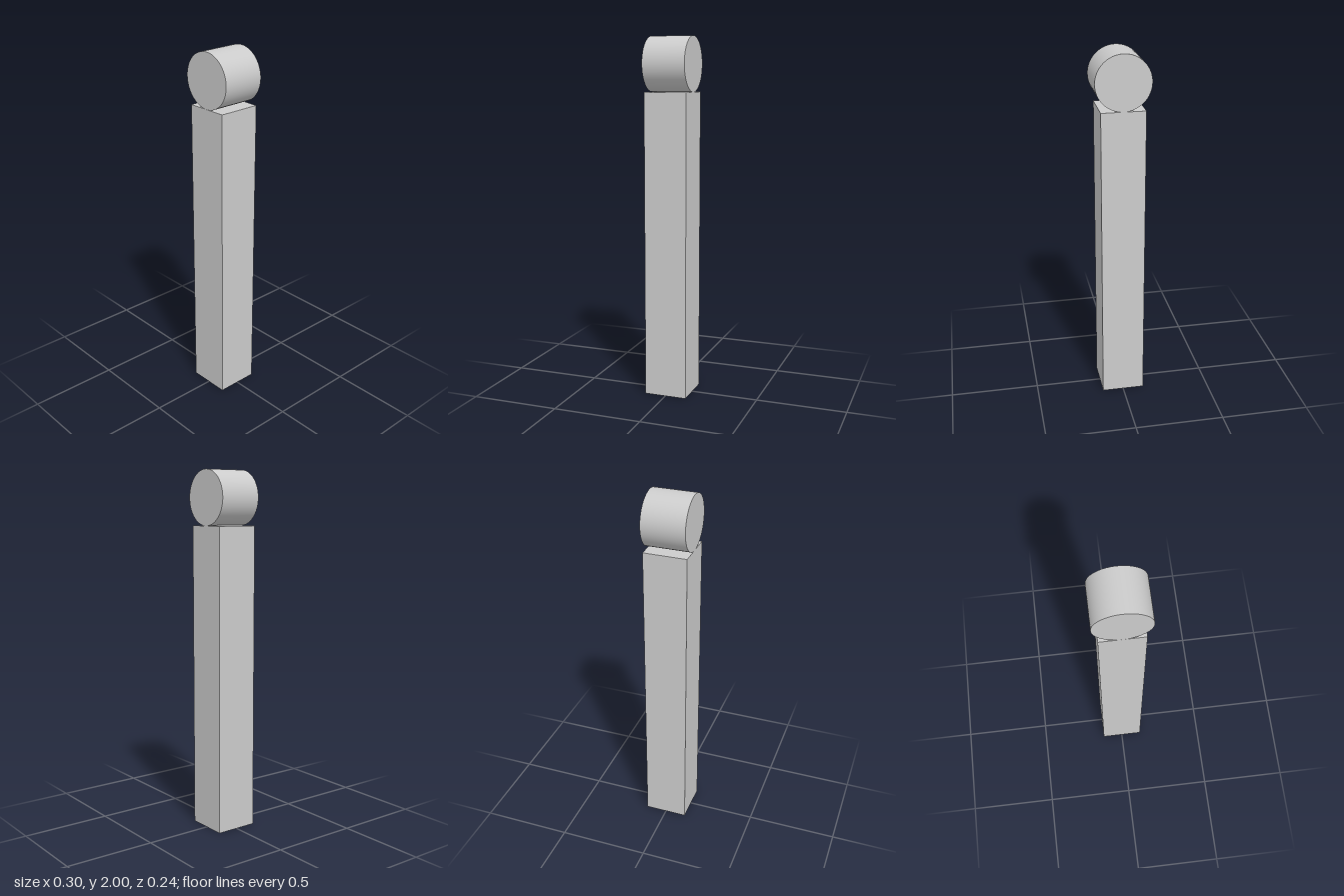
import * as THREE from 'three';

export function createModel() {
  const group = new THREE.Group();
  const material = new THREE.MeshStandardMaterial({ color: 0xcccccc });
  const depth = 0.24, postHeight = 1.7, radius = 0.15;

  // Square post standing on the ground
  const post = new THREE.Mesh(new THREE.BoxGeometry(depth, postHeight, depth), material);
  post.name = 'post';
  post.position.y = postHeight / 2;

  // Round drum lying front to back on top of the post
  const drum = new THREE.Mesh(
    new THREE.CylinderGeometry(radius, radius, depth, 64).rotateX(Math.PI / 2),
    material
  );
  drum.name = 'drum';
  drum.position.y = postHeight + radius;

  group.add(post, drum);
  return group;
}
